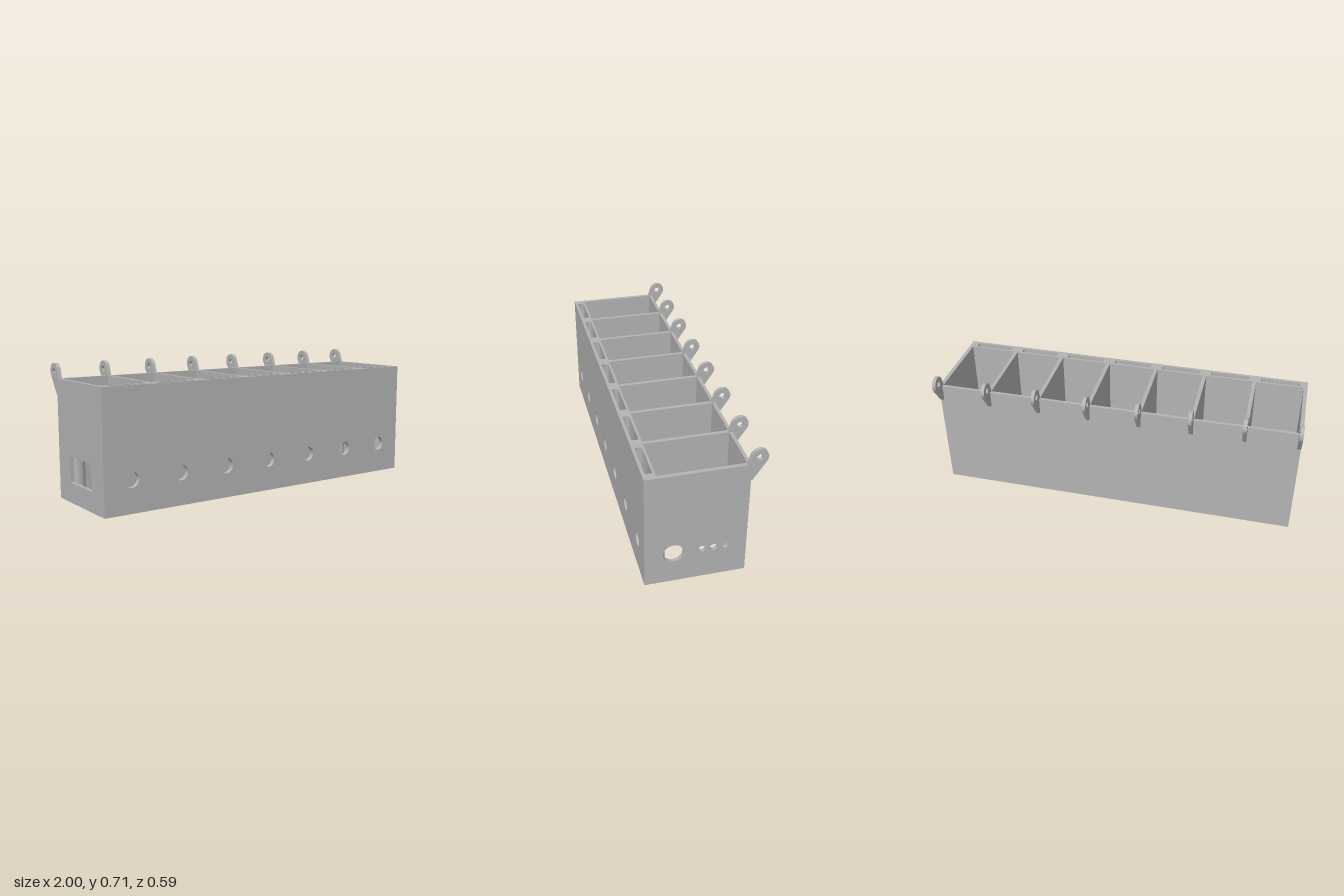
import * as THREE from 'three';
import { toCreasedNormals } from 'three/addons/utils/BufferGeometryUtils.js';

const BACK = -0.215, FRONT = 0.297, TOP = 0.635;
const PITCH = 0.2826, CEILING = 0.31, FLOOR = 0.33, LIP = 0.015, WALL = 0.028;

function rect(x0, x1, y0, y1, Type = THREE.Shape) {
  const s = new Type();
  s.moveTo(x0, y0).lineTo(x1, y0).lineTo(x1, y1).lineTo(x0, y1).closePath();
  return s;
}

function circle(x, y, r, Type = THREE.Path) {
  const s = new Type();
  s.absarc(x, y, r, 0, Math.PI * 2, false);
  return s;
}

// Narrow slot with rounded corners
function slot(x0, x1, y0, y1, r) {
  const p = new THREE.Path();
  p.moveTo(x0 + r, y0).lineTo(x1 - r, y0);
  p.absarc(x1 - r, y0 + r, r, -Math.PI / 2, 0, false);
  p.absarc(x1 - r, y1 - r, r, 0, Math.PI / 2, false);
  p.absarc(x0 + r, y1 - r, r, Math.PI / 2, Math.PI, false);
  p.absarc(x0 + r, y0 + r, r, Math.PI, Math.PI * 1.5, false);
  return p;
}

function extrude(shape, depth) {
  const g = new THREE.ExtrudeGeometry(shape, { depth, bevelEnabled: false, curveSegments: 24 });
  return toCreasedNormals(g, 0.6);
}

// Plan shape (x, z) extruded downwards from a given height
const downFrom = (shape, top, bottom) =>
  extrude(shape, top - bottom).rotateX(Math.PI / 2).translate(0, top, 0);

// Side shape (-z, y) extruded along x
const alongX = (shape, x, width) =>
  extrude(shape, width).rotateY(Math.PI / 2).translate(x, 0, 0);

export function createModel() {
  const group = new THREE.Group();
  const grey = new THREE.MeshStandardMaterial({ color: 0xb3b3b3 });
  grey.name = 'plain grey';

  function add(name, geometry) {
    const mesh = new THREE.Mesh(geometry, grey);
    mesh.name = name;
    group.add(mesh);
    return mesh;
  }

  // Upper tray with seven bins and a slot in front of each
  const tray = rect(-1, 1, BACK, FRONT);
  for (let i = -3; i <= 3; i++) {
    const x = i * PITCH;
    tray.holes.push(rect(x - 0.131, x + 0.131, -0.198, 0.234, THREE.Path));
    tray.holes.push(slot(x - 0.108, x + 0.108, 0.246, 0.281, 0.009));
  }
  add('binTray', downFrom(tray, TOP, FLOOR));

  // Floor of the bins
  add('binFloor', downFrom(rect(-1, 1, BACK, FRONT), FLOOR, CEILING));

  // Front wall with a round hole below each bin
  const frontShape = rect(-1, 1, LIP, CEILING);
  for (let i = -3; i <= 3; i++) frontShape.holes.push(circle(i * PITCH, 0.17, 0.04));
  add('frontWall', extrude(frontShape, WALL).translate(0, 0, FRONT - WALL));

  // Plain back wall
  add('backWall', extrude(rect(-1, 1, LIP, CEILING), WALL).translate(0, 0, BACK));

  // Left end with one large and three small holes
  const leftShape = rect(-FRONT + WALL, -BACK - WALL, LIP, CEILING);
  leftShape.holes.push(circle(-0.153, 0.174, 0.051));
  for (const z of [0.009, -0.049, -0.107]) leftShape.holes.push(circle(-z, 0.174, 0.0185));
  add('leftEndWall', alongX(leftShape, 1 - 0.02, 0.02));

  // Right end with a rectangular window
  const rightShape = rect(-FRONT + WALL, -BACK - WALL, LIP, CEILING);
  rightShape.holes.push(rect(-0.165, 0.085, 0.107, 0.246, THREE.Path));
  add('rightEndWall', alongX(rightShape, -1, 0.02));

  // Thin rim around the open underside, leaving a step for a lid
  const rim = rect(-1, 1, BACK, FRONT);
  rim.holes.push(rect(-0.986, 0.986, BACK + 0.014, FRONT - 0.014, THREE.Path));
  add('bottomRim', downFrom(rim, LIP, 0));

  // Hollow screw posts in the corners
  for (const x of [-0.93, 0.93]) {
    for (const z of [-0.14, 0.216]) {
      const post = circle(x, z, 0.036, THREE.Shape);
      post.holes.push(circle(x, z, 0.016));
      add('screwPost', downFrom(post, CEILING, LIP));
    }
  }

  // Hinge lugs along the top of the back
  const lug = new THREE.Shape();
  lug.moveTo(0.2, 0.548).lineTo(0.222, 0.548).lineTo(0.288, 0.646);
  lug.absarc(0.252, 0.67, 0.043, -0.588, Math.PI - 0.36, false);
  lug.lineTo(0.195, TOP).lineTo(0.2, TOP - 0.004).closePath();
  lug.holes.push(circle(0.252, 0.67, 0.016));
  const lugGeometry = alongX(lug, -0.01, 0.02);
  for (let i = 0; i < 8; i++) {
    add('hingeLug', lugGeometry).position.x = (i - 3.5) * (1.98 / 7);
  }

  return group;
}
